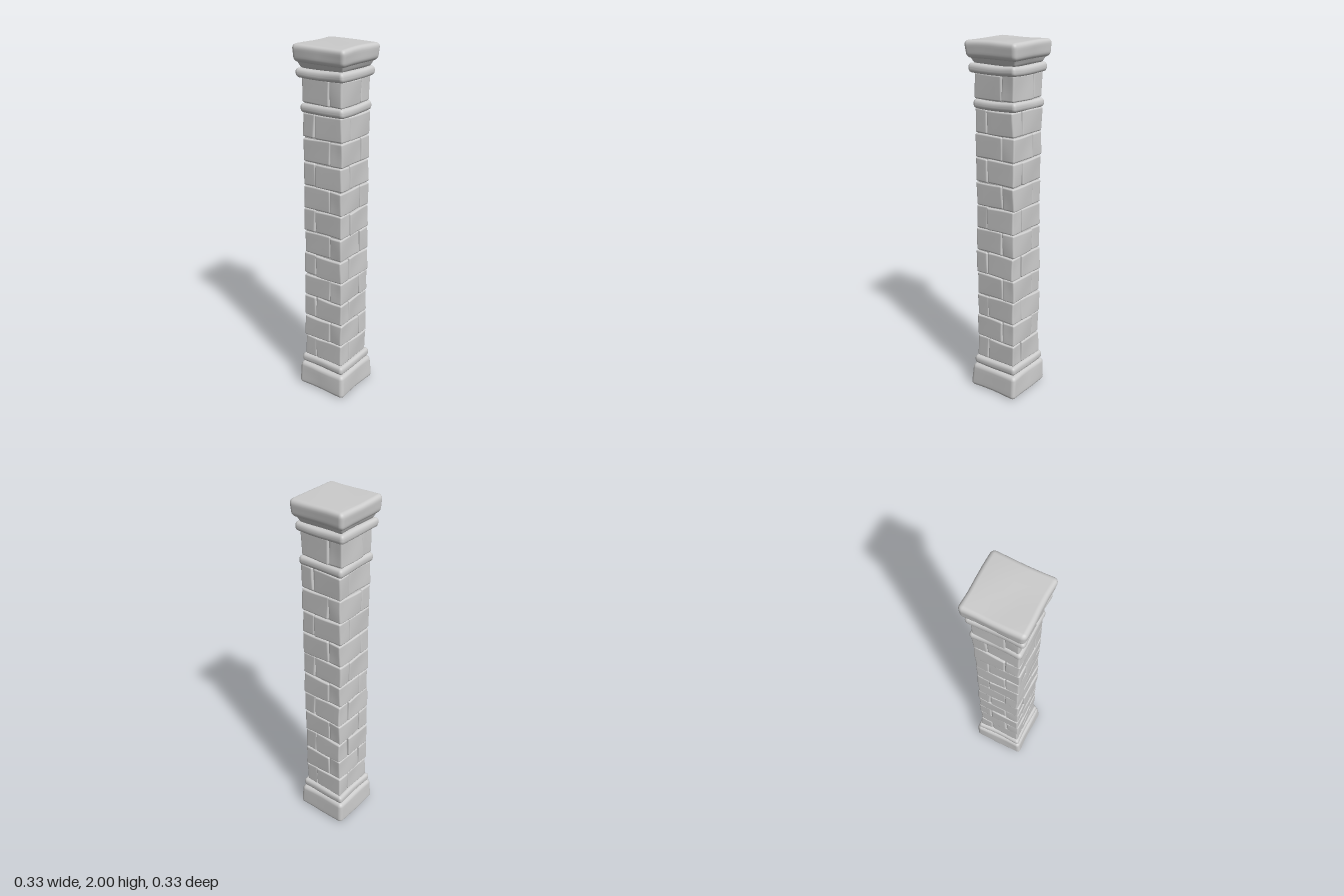
import * as THREE from 'three';
import { mergeVertices } from 'three/addons/utils/BufferGeometryUtils.js';

const material = new THREE.MeshStandardMaterial({ color: 0xcccccc });

// Small seeded random, -1 to 1
let seed = 7;
function rand() {
  seed = (seed * 16807) % 2147483647;
  return (seed / 2147483647) * 2 - 1;
}

// Rounded, slightly worn block. taper scales the bottom, pinch hollows the sides, sag bends the middle down.
function stone(name, w, h, d, r, { taper = 1, pinch = 0, sag = 0, wobble = 0.002 } = {}) {
  const n = 10;
  let geo = new THREE.BoxGeometry(2, 2, 2, n, n, n);
  geo.deleteAttribute('normal');
  geo.deleteAttribute('uv');
  geo = mergeVertices(geo);
  const pos = geo.attributes.position;
  const half = [w / 2, h / 2, d / 2];
  const phase = rand() * 3;
  const v = new THREE.Vector3(), inner = new THREE.Vector3();
  // Outer three grid cells cover the rounded edge
  const place = (u, s) => {
    const a = Math.abs(u), flat = s - r;
    return Math.sign(u) * (a <= 0.41 ? (a / 0.4) * flat : flat + ((a - 0.4) / 0.6) * r);
  };
  for (let i = 0; i < pos.count; i++) {
    v.fromBufferAttribute(pos, i);
    v.set(place(v.x, half[0]), place(v.y, half[1]), place(v.z, half[2]));
    inner.set(...v.toArray().map((c, k) => THREE.MathUtils.clamp(c, r - half[k], half[k] - r)));
    v.sub(inner);
    if (v.lengthSq() > 0) v.setLength(r);
    v.add(inner);
    const s = THREE.MathUtils.lerp(taper, 1, v.y / h + 0.5);
    const cx = 1 - (v.x / half[0]) ** 2, cz = 1 - (v.z / half[2]) ** 2;
    const x = v.x * s * (1 - (pinch * cz) / half[0]);
    const z = v.z * s * (1 - (pinch * cx) / half[2]);
    const y = v.y - sag * Math.max(cx, cz, 0) * (1 - Math.min(cx, cz, 1));
    pos.setXYZ(i,
      x + wobble * Math.sin(23 * z + 17 * y + phase),
      y + wobble * Math.sin(19 * x + 13 * z + phase * 2) * (v.y > 0 ? 1 : 0.5),
      z + wobble * Math.sin(21 * x - 18 * y + phase * 3));
  }
  geo.computeVertexNormals();
  const mesh = new THREE.Mesh(geo, material);
  mesh.name = name;
  return mesh;
}

// Four bricks laid in a pinwheel; the hand flips on alternate courses
function course(y0, y1, hand, index) {
  const group = new THREE.Group();
  group.name = 'brickCourse' + index;
  const thick = 0.078, half = 0.127, length = 2 * half - thick;
  for (let k = 0; k < 4; k++) {
    const pivot = new THREE.Group();
    pivot.name = 'brickSide' + k;
    pivot.rotation.y = (k * Math.PI) / 2;
    const brick = stone('brick', length - 0.002, y1 - y0 - 0.004, thick, 0.009, { wobble: 0.0025 });
    brick.position.set(hand * thick / 2, (y0 + y1) / 2, half - thick / 2 + rand() * 0.004);
    brick.rotation.set(rand() * 0.025, rand() * 0.02, rand() * 0.008);
    pivot.add(brick);
    group.add(pivot);
  }
  return group;
}

export function createModel() {
  seed = 7;
  const column = new THREE.Group();
  column.name = 'stoneColumn';
  const add = (mesh, y0, y1, x = 0) => {
    mesh.position.set(x, (y0 + y1) / 2, 0);
    column.add(mesh);
  };

  // Base block and its collar
  add(stone('baseBlock', 0.303, 0.142, 0.303, 0.024, { taper: 1.05, pinch: 0.003 }), 0.004, 0.146, -0.003);
  add(stone('baseCollar', 0.288, 0.052, 0.288, 0.02, { pinch: 0.005, sag: 0.005 }), 0.149, 0.201);

  // Mortar core behind the bricks
  const core = new THREE.Mesh(new THREE.BoxGeometry(0.232, 1.8, 0.232), material);
  core.name = 'core';
  add(core, 0.1, 1.9);

  // Eleven shaft courses and one under the capital
  const count = 11, bottom = 0.198, top = 1.652, step = (top - bottom) / count;
  for (let i = 0; i < count; i++) {
    column.add(course(bottom + i * step, bottom + (i + 1) * step, i % 2 ? -1 : 1, i + 1));
  }
  column.add(course(1.698, 1.836, -1, count + 1));

  // Collars around the top course
  add(stone('lowerCollar', 0.274, 0.05, 0.274, 0.02, { pinch: 0.004, sag: 0.004 }), 1.65, 1.7);
  add(stone('upperCollar', 0.3, 0.05, 0.3, 0.02, { pinch: 0.006, sag: 0.006 }), 1.833, 1.883, -0.003);

  // Flared neck and cap slab
  add(stone('capitalNeck', 0.3, 0.05, 0.3, 0.014, { taper: 0.84, pinch: 0.004 }), 1.876, 1.926);
  add(stone('capSlab', 0.334, 0.092, 0.334, 0.026, { taper: 0.955, pinch: 0.003 }), 1.907, 1.999);

  return column;
}
